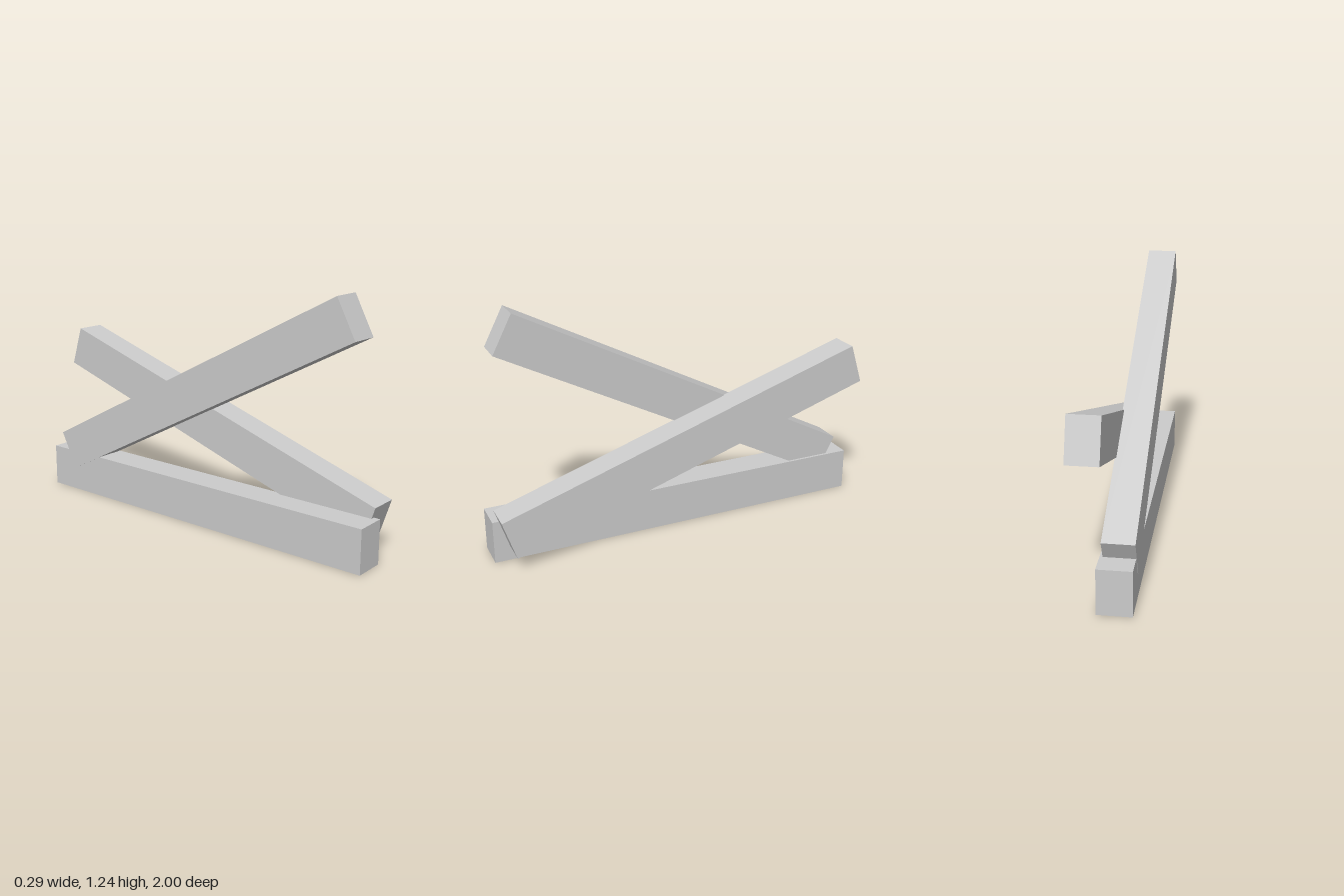
import * as THREE from 'three';

const material = new THREE.MeshStandardMaterial({ color: 0xcccccc, flatShading: true });

// One square-cut beam running along z, tilted about the x axis
function beam(name, [width, height, length], [x, y, z], tiltDegrees = 0) {
  const mesh = new THREE.Mesh(new THREE.BoxGeometry(width, height, length), material);
  mesh.name = name;
  mesh.position.set(x, y, z);
  mesh.rotation.x = THREE.MathUtils.degToRad(tiltDegrees);
  return mesh;
}

export function createModel() {
  const group = new THREE.Group();
  group.name = 'crossedBeams';
  group.add(
    // Beam lying flat on the ground
    beam('baseBeam', [0.161, 0.22, 2], [-0.065, 0.11, 0]),
    // Steep beam rising towards the front
    beam('steepBeam', [0.15, 0.212, 1.998], [-0.073, 0.68, 0], -27.64),
    // Shallow beam rising towards the back, beside the others
    beam('shallowBeam', [0.15, 0.212, 1.996], [0.07, 0.478, 0.002], 17.77),
  );
  return group;
}
